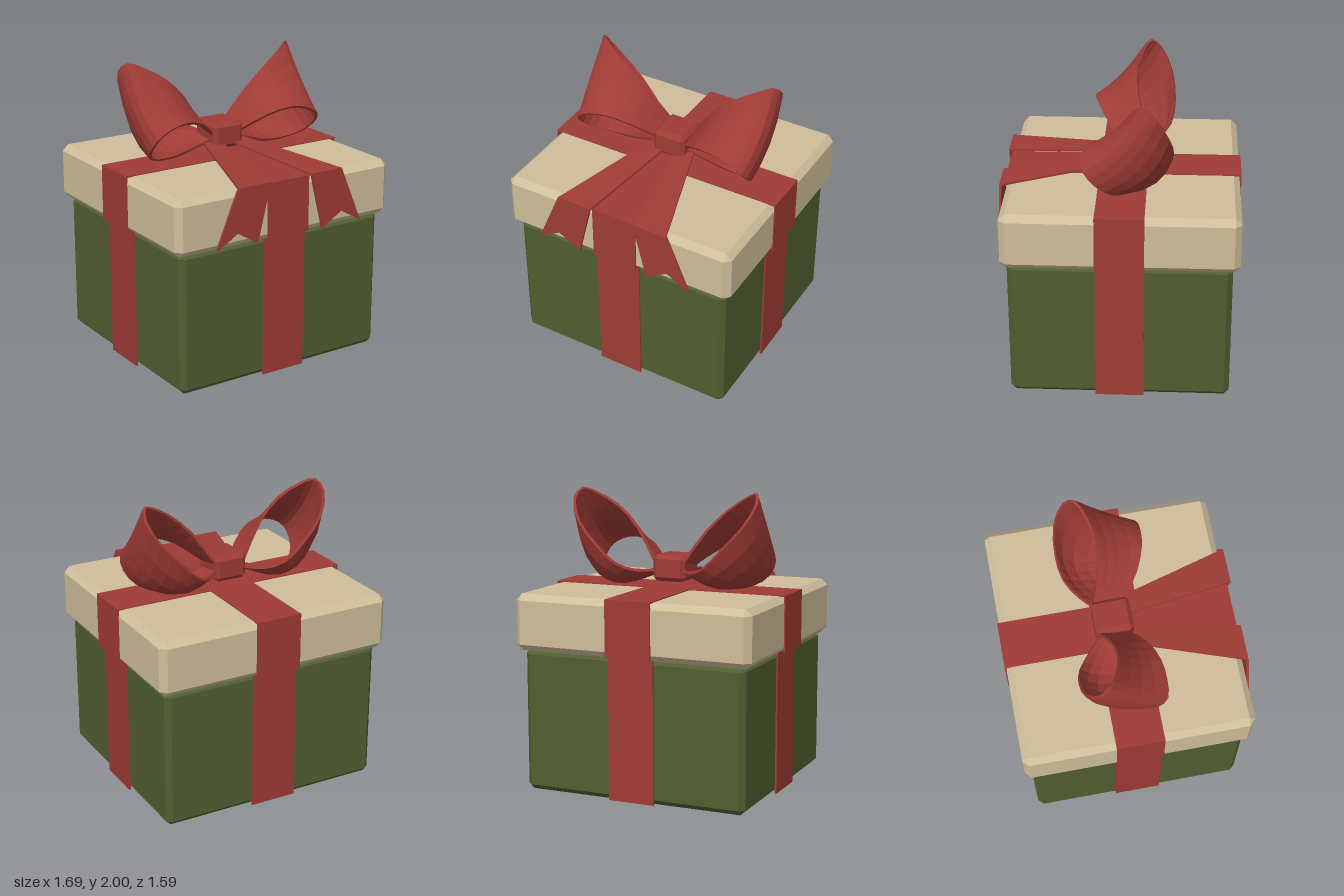
import * as THREE from 'three';
import { ConvexGeometry } from 'three/addons/geometries/ConvexGeometry.js';

const paint = (name, color) => {
  const m = new THREE.MeshStandardMaterial({ color, flatShading: true });
  m.name = name;
  return m;
};

// Box with every edge and corner cut by c; lo and hi are [x, y, z]
function chamferBox(lo, hi, c) {
  const pts = [];
  for (let k = 0; k < 8; k++)
    for (let flat = 0; flat < 3; flat++)
      pts.push(new THREE.Vector3(...[0, 1, 2].map((a) => {
        const inset = a === flat ? 0 : c;
        return (k >> a) & 1 ? hi[a] - inset : lo[a] + inset;
      })));
  return new ConvexGeometry(pts);
}

// Solid through closed rings of Vector3, capped at both ends, always facing outward
function loft(rings) {
  const n = rings[0].length, pts = rings.flat(), idx = [], last = (rings.length - 1) * n;
  for (let i = 0; i < rings.length - 1; i++)
    for (let j = 0; j < n; j++) {
      const a = i * n + j, b = i * n + (j + 1) % n;
      idx.push(a, b, b + n, a, b + n, a + n);
    }
  for (let j = 1; j < n - 1; j++) idx.push(0, j + 1, j, last, last + j, last + j + 1);
  let volume = 0;
  for (let i = 0; i < idx.length; i += 3)
    volume += pts[idx[i]].dot(pts[idx[i + 1]].clone().cross(pts[idx[i + 2]]));
  if (volume < 0) idx.reverse();
  const g = new THREE.BufferGeometry().setFromPoints(pts);
  g.setIndex(idx);
  const out = g.toNonIndexed();
  out.computeVertexNormals();
  return out;
}

// Bow loop guide lines: front rim, middle, back rim, each leaving and returning to the knot
const guides = [
  [[.09, 1.48, .04], [.25, 1.6, .17], [.4, 1.645, .23], [.53, 1.625, .245], [.63, 1.56, .23], [.65, 1.47, .15],
    [.6, 1.39, .05], [.48, 1.345, -.02], [.35, 1.35, -.02], [.22, 1.39, 0], [.09, 1.43, .02]],
  [[.09, 1.495, -.05], [.25, 1.655, .04], [.4, 1.735, .07], [.55, 1.765, .05], [.65, 1.74, .02], [.67, 1.65, -.07],
    [.61, 1.53, -.18], [.47, 1.42, -.235], [.34, 1.37, -.2], [.21, 1.39, -.13], [.09, 1.44, -.06]],
  [[.09, 1.51, -.15], [.25, 1.74, -.09], [.4, 1.88, -.075], [.55, 1.97, -.115], [.64, 2, -.165], [.67, 1.93, -.24],
    [.6, 1.78, -.32], [.45, 1.62, -.345], [.32, 1.5, -.32], [.2, 1.45, -.24], [.09, 1.45, -.14]],
].map((row) => new THREE.CatmullRomCurve3(row.map((p) => new THREE.Vector3(...p))));

function bowLoop(side, reach) {
  const rings = [], steps = 20, thick = 0.02;
  for (let i = 0; i <= steps; i++) {
    const t = i / steps;
    const [a, m, b] = guides.map((c) => c.getPoint(t));
    const normal = guides[1].getTangent(t).cross(b.clone().sub(a)).normalize();
    const outer = [0, 0.25, 0.5, 0.75, 1].map((v) => new THREE.Vector3()
      .addScaledVector(a, (1 - v) * (1 - 2 * v))
      .addScaledVector(m, 4 * v * (1 - v))
      .addScaledVector(b, v * (2 * v - 1)));
    const inner = outer.map((p) => p.clone().addScaledVector(normal, -thick)).reverse();
    rings.push([...outer, ...inner].map((p) =>
      new THREE.Vector3(p.x * side, p.y, p.z > 0 ? p.z * reach : p.z)));
  }
  return loft(rings);
}

export function createModel() {
  const model = new THREE.Group();
  model.name = 'giftBox';
  const green = paint('green', 0x515e30);
  const cream = paint('cream', 0xcfbe9a);
  const red = paint('red', 0x9f3b35);
  const add = (name, geometry, material) => {
    const mesh = new THREE.Mesh(geometry, material);
    mesh.name = name;
    model.add(mesh);
  };
  const plate = (name, lo, hi) => {
    const g = new THREE.BoxGeometry(...hi.map((h, i) => h - lo[i]));
    g.translate(...hi.map((h, i) => (h + lo[i]) / 2));
    add(name, g, red);
  };

  // Box and lid
  add('boxBody', chamferBox([-.785, 0, -.74], [.785, .965, .72], .035), green);
  add('lid', chamferBox([-.835, .955, -.785], [.835, 1.335, .76], .042), cream);

  // Ribbon straps down the body and over the lid
  const w = 0.16, zc = -0.01;
  plate('bodyStrapFront', [-w, 0, .718], [w, .96, .73]);
  plate('bodyStrapBack', [-w, 0, -.75], [w, .96, -.738]);
  plate('lidStrapFront', [-w, .963, .758], [w, 1.342, .77]);
  plate('lidStrapBack', [-w, .963, -.795], [w, 1.342, -.783]);
  plate('lidStrapLengthwise', [-w, 1.332, -.795], [w, 1.342, .77]);
  plate('lidStrapCrosswise', [-.843, 1.332, zc - w], [.843, 1.341, zc + w]);
  for (const s of [-1, 1]) {
    const side = (name, x0, x1, y0, y1) =>
      plate(name, [Math.min(s * x0, s * x1), y0, zc - w], [Math.max(s * x0, s * x1), y1, zc + w]);
    side('bodyStrapSide', .783, .796, 0, .96);
    side('lidStrapSide', .833, .843, .963, 1.341);
  }

  // Bow: knot, two loops and two notched tails
  add('knot', chamferBox([-.117, 1.382, -.17], [.117, 1.56, .085], .028), red);
  for (const s of [-1, 1]) {
    add('bowLoop', bowLoop(s, s > 0 ? 1 : 0.88), red);

    const ring = (xIn, xOut, y, z) => [[xIn, y], [xOut, y], [xOut, y - .015], [xIn, y - .015]]
      .map(([px, py]) => new THREE.Vector3(s * px, py, z));
    add('tailTop', loft([ring(.03, .155, 1.425, 0), ring(.158, .405, 1.357, .795)]), red);

    const shape = new THREE.Shape([[.158, 1.357], [.255, .967], [.41, 1.06], [.57, .967], [.405, 1.357]]
      .map(([px, py]) => new THREE.Vector2(s * px, py)));
    const hang = new THREE.ExtrudeGeometry(shape, { depth: .015, bevelEnabled: false });
    hang.translate(0, 0, .78);
    add('tailEnd', hang, red);
  }
  return model;
}
